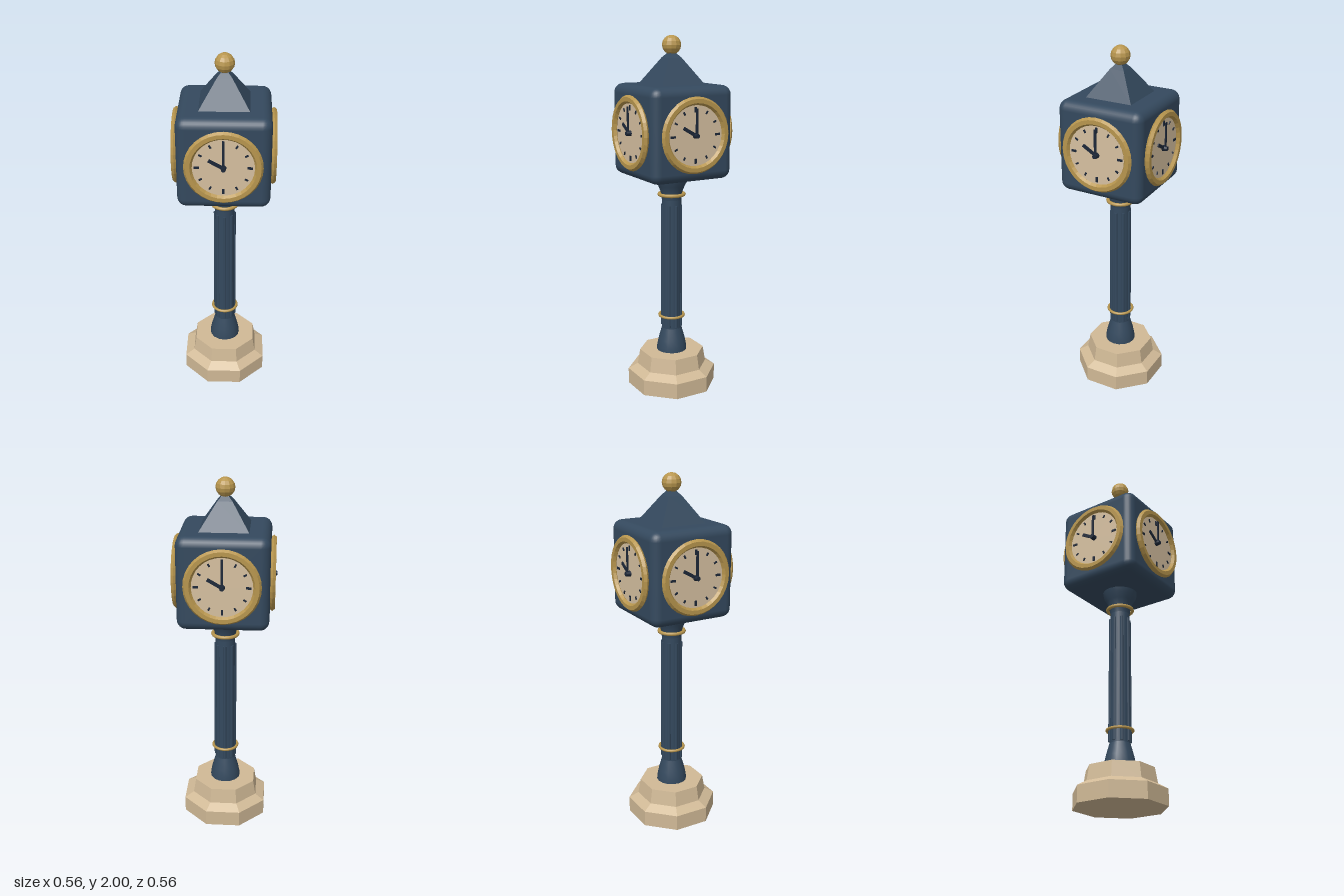
import * as THREE from 'three';
import { RoundedBoxGeometry } from 'three/addons/geometries/RoundedBoxGeometry.js';

const flat = (geometry) => {
  const g = geometry.index ? geometry.toNonIndexed() : geometry;
  g.computeVertexNormals();
  return g;
};
const material = (name, color) => new THREE.MeshStandardMaterial({ name, color });
const lathe = (points, sides, start = 0) =>
  new THREE.LatheGeometry(points.map(([r, y]) => new THREE.Vector2(r, y)), sides, start);

export function createModel() {
  const navy = material('navy paint', 0x34495e);
  const gold = material('brass', 0xb8964e);
  const stone = material('stone', 0xd0b996);
  const cream = material('dial cream', 0xd6c0a0);
  const ink = material('dark hands', 0x1c2738);

  const clock = new THREE.Group();
  clock.name = 'streetClock';
  const add = (parent, name, geometry, mat, x = 0, y = 0, z = 0) => {
    const mesh = new THREE.Mesh(geometry, mat);
    mesh.name = name;
    mesh.position.set(x, y, z);
    parent.add(mesh);
    return mesh;
  };

  // Stepped octagonal plinth
  add(clock, 'plinth', flat(lathe(
    [[0, 0], [0.254, 0], [0.254, 0.09], [0.2, 0.12], [0.185, 0.206], [0, 0.206]],
    8, Math.PI / 8)), stone);

  // Post: flared foot, plain shaft and flared capital
  add(clock, 'foot', lathe(
    [[0.087, 0.2], [0.085, 0.23], [0.077, 0.27], [0.063, 0.32], [0.056, 0.345]], 16), navy);
  add(clock, 'shaft', new THREE.CylinderGeometry(0.055, 0.057, 0.79, 16), navy, 0, 0.735, 0);
  add(clock, 'capital', lathe(
    [[0.055, 1.1], [0.06, 1.14], [0.075, 1.18], [0.092, 1.21], [0.102, 1.25]], 16), navy);

  // Raised ribs around the shaft
  for (let i = 0; i < 8; i++) {
    const a = (i * Math.PI) / 4;
    add(clock, 'shaftRib', new THREE.CylinderGeometry(0.009, 0.011, 0.72, 8), navy,
      Math.sin(a) * 0.053, 0.71, Math.cos(a) * 0.053);
  }

  // Brass collars
  for (const [y, r, tube] of [[0.415, 0.07, 0.008], [1.13, 0.07, 0.01]]) {
    add(clock, 'collar', new THREE.TorusGeometry(r, tube, 8, 24), gold, 0, y, 0).rotation.x = Math.PI / 2;
  }

  // Clock case, four-sided roof and ball finial
  add(clock, 'case', new RoundedBoxGeometry(0.49, 0.505, 0.49, 3, 0.05), navy, 0, 1.488, 0);
  const d = Math.SQRT2;
  add(clock, 'roof', flat(lathe(
    [[0.133 * d, 1.738], [0.04 * d, 1.88], [0.022 * d, 1.9], [0.012 * d, 1.92]],
    4, Math.PI / 4)), navy);
  add(clock, 'finial', flat(new THREE.SphereGeometry(0.052, 12, 8)), gold, 0, 1.948, 0);

  // The same dial on all four sides
  for (let side = 0; side < 4; side++) {
    const dial = new THREE.Group();
    dial.name = 'dial';
    dial.position.y = 1.488;
    dial.rotation.y = (side * Math.PI) / 2;
    clock.add(dial);

    add(dial, 'dialFace', new THREE.CylinderGeometry(0.178, 0.178, 0.016, 32), cream, 0, 0, 0.245)
      .rotation.x = Math.PI / 2;
    const bezel = new THREE.TorusGeometry(0.182, 0.022, 6, 32);
    bezel.scale(1, 1, 0.78);
    add(dial, 'bezel', flat(bezel), gold, 0, 0, 0.257);

    // Hour marks, longer at the quarters
    for (let h = 0; h < 12; h++) {
      const a = (h * Math.PI) / 6;
      const quarter = h % 3 === 0;
      add(dial, 'hourMark', new THREE.BoxGeometry(quarter ? 0.012 : 0.009, quarter ? 0.028 : 0.018, 0.005),
        ink, Math.sin(a) * 0.136, Math.cos(a) * 0.136, 0.255).rotation.z = -a;
    }

    // Hands at ten o'clock and the centre hub
    const hand = (name, length, width, angle, z) => {
      const g = new THREE.BoxGeometry(width, length, 0.006);
      g.translate(0, length / 2 - 0.012, 0);
      add(dial, name, g, ink, 0, 0, z).rotation.z = angle;
    };
    hand('minuteHand', 0.155, 0.013, 0, 0.268);
    hand('hourHand', 0.1, 0.018, Math.PI / 3, 0.261);
    add(dial, 'hub', new THREE.CylinderGeometry(0.012, 0.016, 0.028, 12), ink, 0, 0, 0.266)
      .rotation.x = Math.PI / 2;
  }
  return clock;
}
